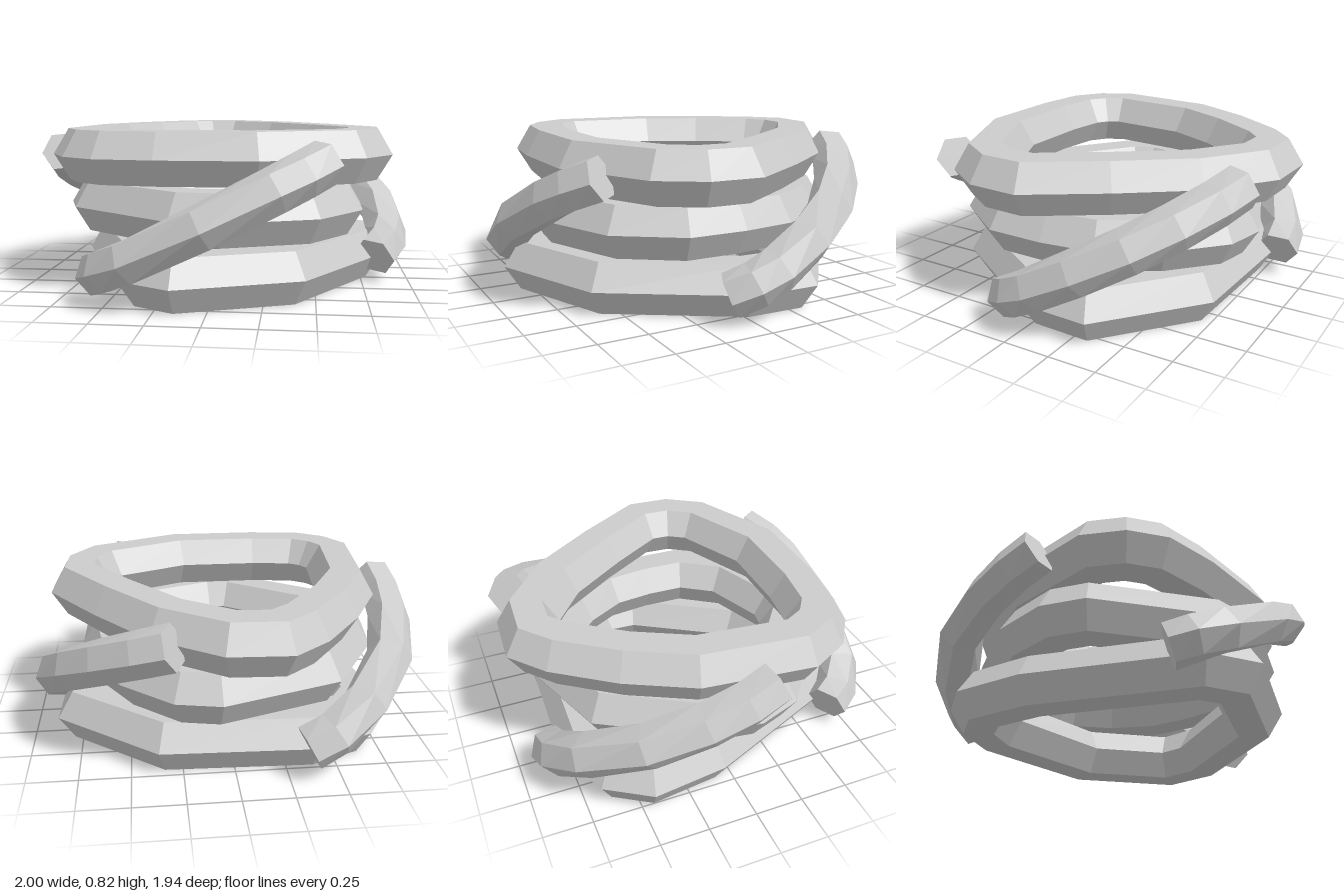
import * as THREE from 'three';

// Sweep a hexagon along a path; paths run back -> +x -> front -> -x so "out" points away from the centre.
function sweepHex(path, radius, closed, twist = 0) {
  const n = path.length;
  const up = new THREE.Vector3(0, 1, 0);
  const seg = (i) => path[(i + 1) % n].clone().sub(path[i]).normalize();
  const rings = path.map((p, i) => {
    const tIn = closed || i > 0 ? seg((i + n - 1) % n) : seg(0);
    const tOut = closed || i < n - 1 ? seg(i) : tIn;
    const t = tIn.clone().add(tOut).normalize();
    const out = new THREE.Vector3().crossVectors(t, up).normalize();
    const rise = new THREE.Vector3().crossVectors(out, t).normalize();
    const miter = 1 / Math.max(0.6, t.dot(tOut));
    return Array.from({ length: 6 }, (_, j) => {
      const a = (j * Math.PI) / 3 + twist;
      return p.clone()
        .addScaledVector(out, Math.cos(a) * radius * miter)
        .addScaledVector(rise, Math.sin(a) * radius);
    });
  });
  const pos = [];
  const tri = (...vs) => vs.forEach((v) => pos.push(v.x, v.y, v.z));
  for (let i = 0; i < (closed ? n : n - 1); i++) {
    const r = rings[i], s = rings[(i + 1) % n];
    for (let j = 0; j < 6; j++) {
      const k = (j + 1) % 6;
      tri(r[j], r[k], s[k]);
      tri(r[j], s[k], s[j]);
    }
  }
  if (!closed) {
    const first = rings[0], last = rings[n - 1];
    for (let j = 1; j < 5; j++) {
      tri(first[0], first[j + 1], first[j]);
      tri(last[0], last[j], last[j + 1]);
    }
  }
  const g = new THREE.BufferGeometry();
  g.setAttribute('position', new THREE.Float32BufferAttribute(pos, 3));
  g.computeVertexNormals();
  return g;
}

export function createModel() {
  const model = new THREE.Group();
  model.name = 'stackedRings';
  const grey = new THREE.MeshStandardMaterial({ color: 0xcccccc, flatShading: true, side: THREE.DoubleSide });
  grey.name = 'light grey';
  const add = (name, geometry) => {
    const mesh = new THREE.Mesh(geometry, grey);
    mesh.name = name;
    model.add(mesh);
  };

  // Three rounded-triangle rings, centre lines as [x, z]
  const rings = {
    topRing: [0.695, [
      [-0.18, -0.82], [0.02, -0.81], [0.29, -0.61], [0.53, -0.29], [0.74, 0.03], [0.73, 0.21],
      [0.63, 0.365], [0.2, 0.565], [-0.25, 0.565], [-0.505, 0.53], [-0.62, 0.45], [-0.69, 0.32],
      [-0.64, -0.17], [-0.49, -0.46], [-0.3, -0.72]]],
    middleRing: [0.415, [
      [0.08, -0.715], [0.22, -0.685], [0.42, -0.5], [0.56, -0.26], [0.59, -0.02], [0.585, 0.23],
      [0.42, 0.47], [0.03, 0.62], [-0.13, 0.6], [-0.62, 0.23], [-0.675, 0.08], [-0.64, -0.17],
      [-0.42, -0.54]]],
    bottomRing: [0.13, [
      [-0.37, -0.65], [0.31, -0.625], [0.715, -0.29], [0.705, -0.04],
      [0.35, 0.53], [-0.15, 0.725], [-0.3, 0.645],
      [-0.63, -0.11], [-0.67, -0.42], [-0.58, -0.56]]],
  };
  for (const [name, [y, pts]] of Object.entries(rings)) {
    add(name, sweepHex(pts.map(([x, z]) => new THREE.Vector3(x, y, z)), 0.15, true));
  }

  // Three slanted outer bars
  const bars = {
    frontBar: [[0.54, 0.69, 0.63], [0.43, 0.635, 0.72], [0.3, 0.57, 0.78], [-0.02, 0.41, 0.85],
      [-0.36, 0.24, 0.81], [-0.49, 0.175, 0.73], [-0.55, 0.14, 0.64]],
    leftBar: [[0.29, 0.705, -0.85], [0.43, 0.655, -0.79], [0.6, 0.575, -0.67], [0.75, 0.48, -0.51],
      [0.855, 0.365, -0.3], [0.89, 0.255, -0.1], [0.875, 0.195, 0.01], [0.815, 0.14, 0.11]],
    rightBar: [[-0.87, 0.69, 0.12], [-0.89, 0.63, -0.03], [-0.88, 0.56, -0.22], [-0.81, 0.46, -0.48],
      [-0.63, 0.33, -0.72], [-0.46, 0.22, -0.82], [-0.34, 0.16, -0.835]],
  };
  for (const [name, pts] of Object.entries(bars)) {
    add(name, sweepHex(pts.map((p) => new THREE.Vector3(...p)), 0.112, false, 0.1));
  }
  return model;
}
